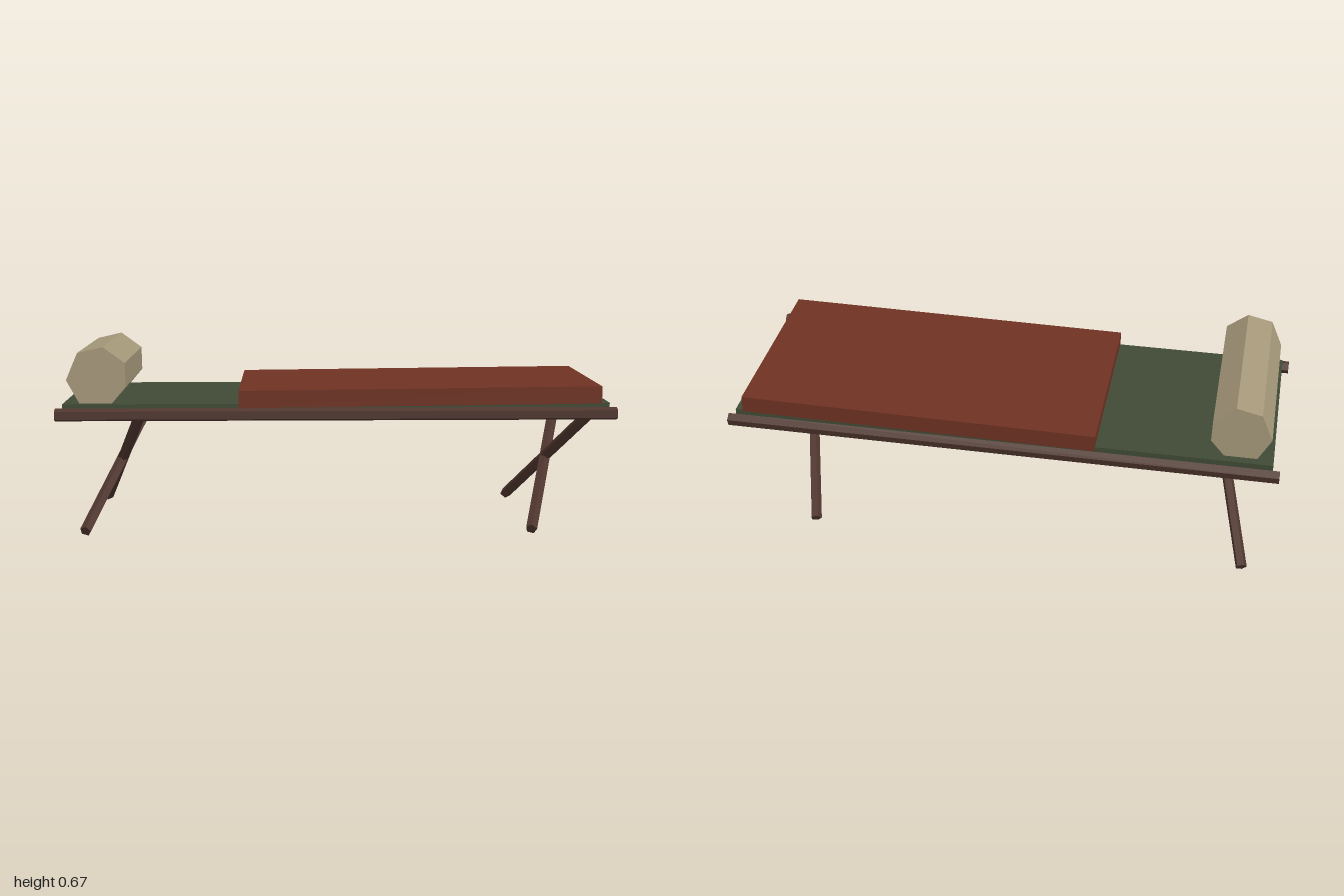
import * as THREE from 'three';

const paint = (name, color) => {
  const m = new THREE.MeshStandardMaterial({ color, flatShading: true });
  m.name = name;
  return m;
};

export function createModel() {
  const wood = paint('dark wood', 0x50372f);
  const green = paint('green canvas', 0x3f4a35);
  const red = paint('rust blanket', 0x6f3222);
  const tan = paint('tan linen', 0xa6997a);

  const cot = new THREE.Group();
  cot.name = 'campCot';
  const add = (name, geometry, material, x = 0, y = 0, z = 0) => {
    const mesh = new THREE.Mesh(geometry, material);
    mesh.name = name;
    mesh.position.set(x, y, z);
    cot.add(mesh);
    return mesh;
  };

  // Five-sided side rails, each rolled differently about its length
  for (const [name, z, roll] of [['frontRail', 0.36, Math.PI], ['backRail', -0.36, Math.PI / 2]]) {
    const rail = new THREE.CylinderGeometry(0.024, 0.024, 2, 5, 1, false, roll);
    add(name, rail.rotateZ(Math.PI / 2), wood, 0, 0.44, z);
  }

  // Two pairs of crossed legs, leaning along the cot
  const up = new THREE.Vector3(0, 1, 0);
  for (const x of [-0.9, 0.7]) {
    for (const s of [1, -1]) {
      const foot = new THREE.Vector3(x, 0.021, 0.36 * s);
      const top = new THREE.Vector3(x + 0.2, 0.44, -0.36 * s);
      const dir = top.clone().sub(foot);
      const geometry = new THREE.CylinderGeometry(0.021, 0.021, dir.length(), 5);
      const mid = foot.add(top).multiplyScalar(0.5);
      const leg = add(s > 0 ? 'frontFootLeg' : 'backFootLeg', geometry, wood, mid.x, mid.y, mid.z);
      leg.quaternion.setFromUnitVectors(up, dir.normalize());
    }
  }

  // Canvas bed
  add('canvas', new THREE.BoxGeometry(1.95, 0.03, 0.7), green, 0, 0.462, 0);

  // Folded blanket, tipped slightly
  const blanket = add('blanket', new THREE.BoxGeometry(1.295, 0.062, 0.716), red, 0.298, 0.5, 0.002);
  blanket.rotation.z = 0.01;

  // Seven-sided bolster pillow with a settled underside
  const outline = [
    [-0.963, 0.56], [-0.917, 0.476], [-0.802, 0.476], [-0.752, 0.535],
    [-0.754, 0.621], [-0.831, 0.678], [-0.922, 0.657],
  ].map(([x, y]) => new THREE.Vector2(x, y));
  const bolster = new THREE.ExtrudeGeometry(new THREE.Shape(outline), { depth: 0.64, bevelEnabled: false });
  add('pillow', bolster, tan, 0, 0, -0.318);

  return cot;
}
